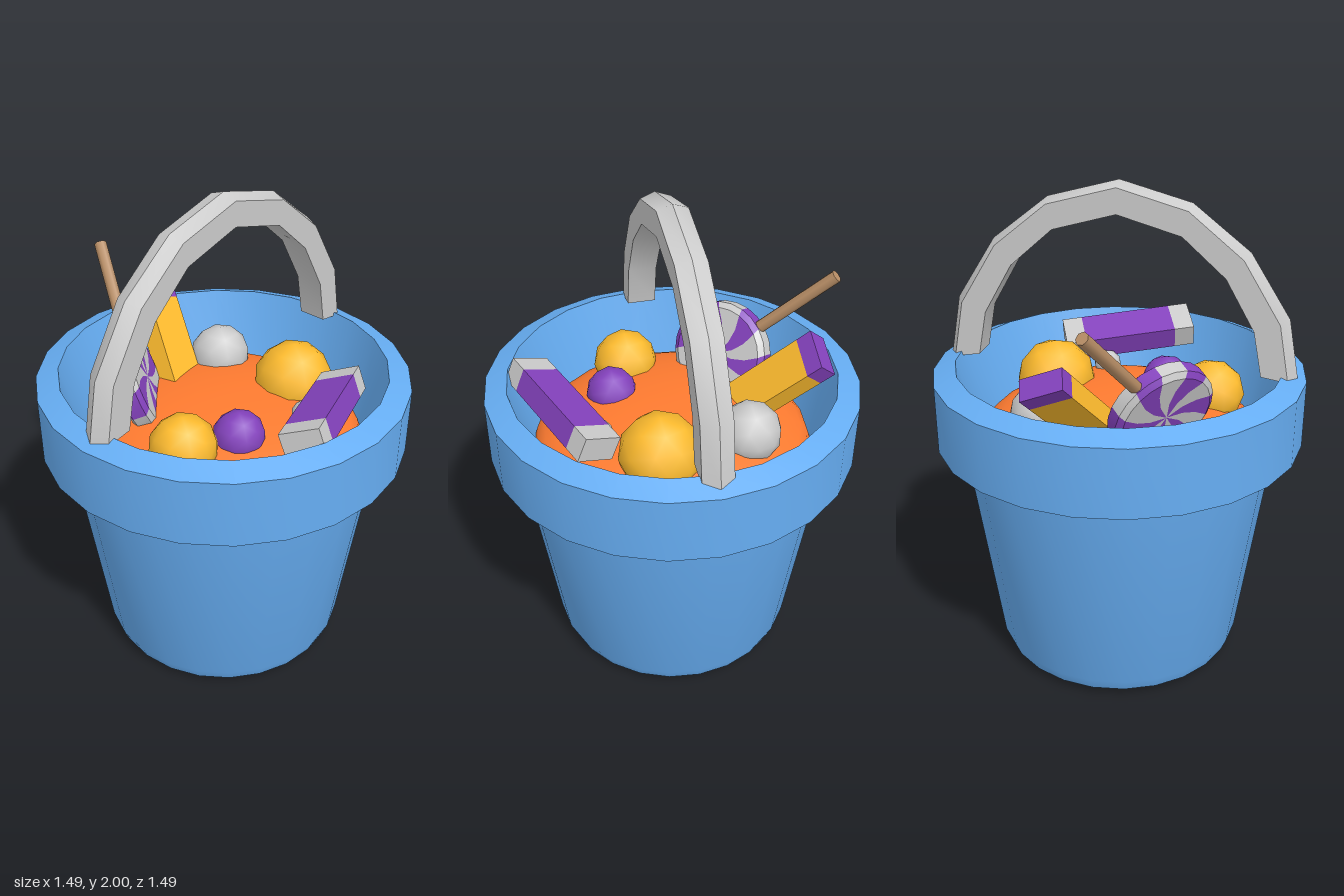
import * as THREE from 'three';
import { toCreasedNormals } from 'three/addons/utils/BufferGeometryUtils.js';

const V = (x, y, z) => new THREE.Vector3(x, y, z);
const mat = color => new THREE.MeshStandardMaterial({ color });
const BLUE = 0x66adf2, ORANGE = 0xff7b30, PURPLE = 0x8442bd, YELLOW = 0xfdbb2e, GREY = 0xcccccc, WOOD = 0xb88e66;

function add(parent, name, geometry, material) {
  const mesh = new THREE.Mesh(geometry, material);
  mesh.name = name;
  parent.add(mesh);
  return mesh;
}

// Quads between the rows of a point grid, with optional extra triangles
function gridGeometry(rows, extraFaces = []) {
  const pos = [];
  const tri = (...pts) => pts.forEach(p => pos.push(p.x, p.y, p.z));
  for (let i = 0; i < rows.length - 1; i++) {
    for (let j = 0; j < rows[i].length - 1; j++) {
      const [a, b, c, d] = [rows[i][j], rows[i + 1][j], rows[i + 1][j + 1], rows[i][j + 1]];
      tri(a, b, c);
      tri(a, c, d);
    }
  }
  extraFaces.forEach(f => tri(...f));
  const g = new THREE.BufferGeometry();
  g.setAttribute('position', new THREE.Float32BufferAttribute(pos, 3));
  return toCreasedNormals(g, 0.6);
}

// Place an object by its local x axis and a hint for local y
function orient(object, center, xAxis, yHint) {
  const x = xAxis.clone().normalize();
  const z = x.clone().cross(yHint).normalize();
  const y = z.clone().cross(x);
  object.quaternion.setFromRotationMatrix(new THREE.Matrix4().makeBasis(x, y, z));
  object.position.copy(center);
}

// Wrapped bar: a body between two end caps, lying along local x
function wrappedBar(name, center, along, up, [length, height, width], cap, bodyColor, capColor) {
  const bar = new THREE.Group();
  bar.name = name;
  add(bar, 'wrapper', new THREE.BoxGeometry(length - 2 * cap, height, width), mat(bodyColor));
  for (const s of [-1, 1]) {
    add(bar, 'wrapperEnd', new THREE.BoxGeometry(cap, height, width), mat(capColor))
      .position.x = s * (length - cap) / 2;
  }
  orient(bar, center, along, up);
  return bar;
}

// Arched handle: five-sided section with a ridge on the outside
function handleGeometry() {
  const outer = [[0.71, 1.26], [0.665, 1.5], [0.505, 1.75], [0.28, 1.925], [0, 2]];
  const inner = [[0.57, 1.28], [0.535, 1.46], [0.42, 1.66], [0.25, 1.81], [0, 1.88]];
  const mirrored = list => [...list, ...list.slice(0, -1).reverse().map(([x, y]) => [-x, y])];
  const inn = mirrored(inner), w = 0.06;
  const rows = mirrored(outer).map(([x, y], i) => {
    const [ix, iy] = inn[i];
    const sx = x + (ix - x) * 0.25, sy = y + (iy - y) * 0.17;
    return [V(x, y, 0), V(sx, sy, w), V(ix, iy, w), V(ix, iy, -w), V(sx, sy, -w), V(x, y, 0)];
  });
  const caps = [];
  const first = rows[0], last = rows[rows.length - 1];
  for (let k = 1; k < 4; k++) {
    caps.push([first[0], first[k], first[k + 1]], [last[0], last[k + 1], last[k]]);
  }
  return gridGeometry(rows, caps);
}

// One twisted wedge of the round sweet, from front centre round the rim to back centre
function swirlWedge(index, count) {
  const profile = [[0, 0.045], [0.07, 0.045], [0.13, 0.045], [0.19, 0.045], [0.213, 0.028],
    [0.213, -0.028], [0.19, -0.045], [0.13, -0.045], [0.07, -0.045], [0, -0.045]];
  const rows = profile.map(([r, z]) => [0, 1, 2].map(j => {
    const a = (index + j / 2) / count * Math.PI * 2 + r * 2.2;
    return V(r * Math.cos(a), r * Math.sin(a), z);
  }));
  return gridGeometry(rows);
}

function lollipop() {
  const group = new THREE.Group();
  group.name = 'lollipop';
  const count = 12, materials = [mat(PURPLE), mat(GREY)];
  for (let i = 0; i < count; i++) add(group, 'swirlWedge', swirlWedge(i, count), materials[i % 2]);
  const stick = add(group, 'stick', new THREE.CylinderGeometry(0.026, 0.026, 0.5, 7), mat(WOOD));
  stick.position.y = 0.355;
  const stickDir = V(0.195, 0.41, -0.395).normalize();
  orient(group, V(-0.22, 1.2, -0.27), stickDir.clone().cross(V(0.64, 0.36, 0.68)), stickDir);
  return group;
}

export function createModel() {
  const model = new THREE.Group();
  model.name = 'candyBucket';

  // Bucket shell with a thick overhanging rim
  const profile = [[0, 0], [0.44, 0], [0.497, 0.03], [0.517, 0.08], [0.64, 0.975], [0.745, 0.975],
    [0.745, 1.25], [0.655, 1.285], [0.565, 0.96], [0, 0.96]].map(p => new THREE.Vector2(...p));
  add(model, 'bucket', toCreasedNormals(new THREE.LatheGeometry(profile, 24), 0.6), mat(BLUE));

  add(model, 'handle', handleGeometry(), mat(GREY));

  // Domed filling
  const fill = add(model, 'filling',
    new THREE.SphereGeometry(0.567, 24, 8, 0, Math.PI * 2, 0, Math.PI / 2), mat(ORANGE));
  fill.scale.y = 0.18 / 0.567;
  fill.position.y = 0.97;

  // Round sweets: x, y, z, radius, colour
  const balls = [
    [0.3, 1.13, 0.12, 0.165, YELLOW], [-0.36, 1.125, 0.12, 0.135, YELLOW],
    [-0.155, 1.12, 0.22, 0.105, PURPLE], [0.255, 1.13, -0.25, 0.127, GREY],
    [0.125, 1.13, 0.325, 0.058, GREY],
  ];
  for (const [x, y, z, r, color] of balls) {
    add(model, 'roundSweet', new THREE.IcosahedronGeometry(r, 1), mat(color)).position.set(x, y, z);
  }

  // Bars: one lying by the front rim, one standing at the back
  model.add(wrappedBar('lyingBar', V(0.063, 1.234, 0.456), V(0.93, -0.09, -0.355),
    V(-0.054, 0.92, -0.375), [0.56, 0.1, 0.16], 0.085, PURPLE, GREY));
  model.add(wrappedBar('standingBar', V(0.073, 1.197, -0.375), V(0.3, 0.68, -0.67),
    V(0.224, 0.639, 0.728), [0.56, 0.09, 0.175], 0.07, YELLOW, PURPLE));

  model.add(lollipop());
  return model;
}
